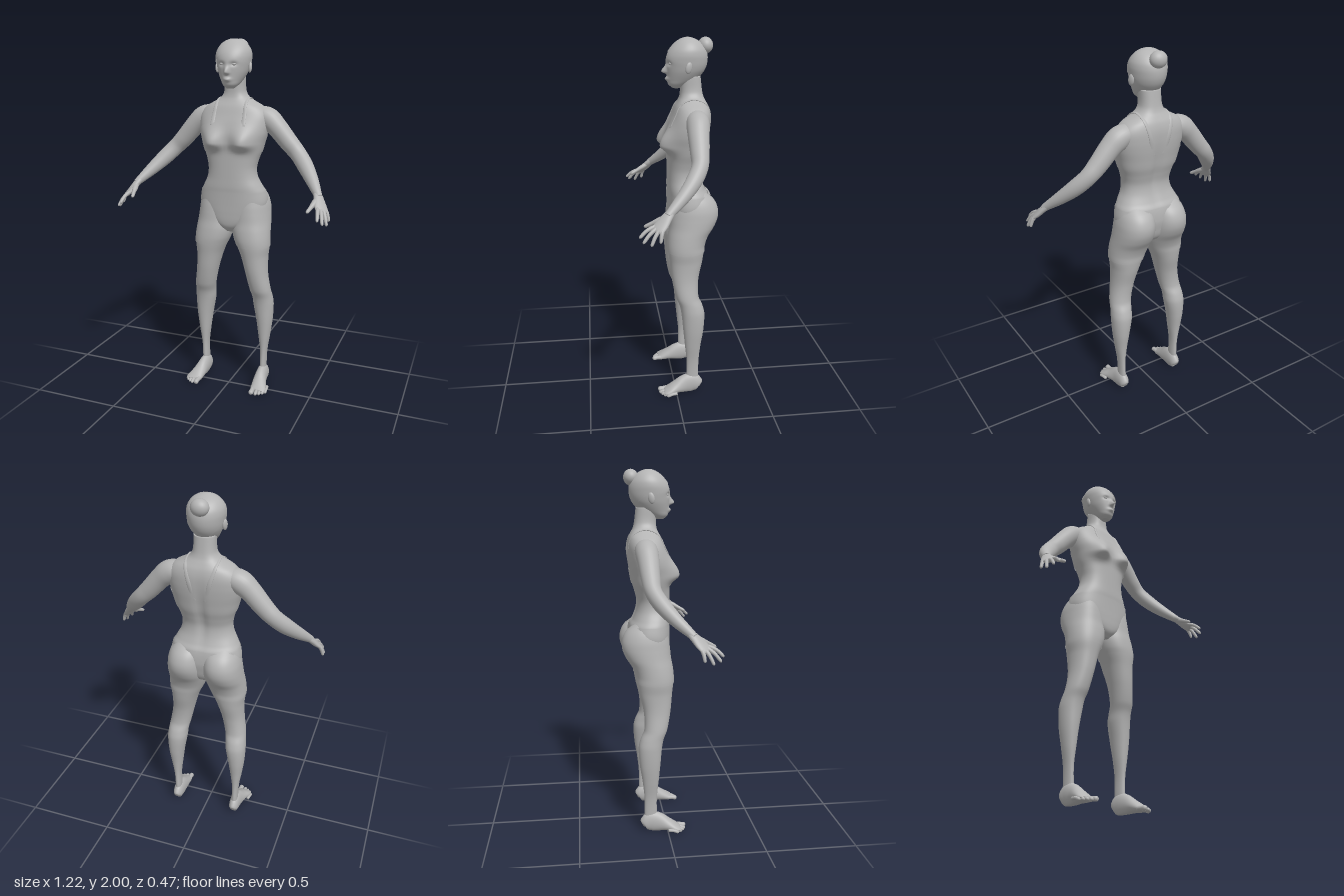
import * as THREE from 'three';

// Smooth interpolation of rows [key, ...values] by ascending key
function sample(rows, k) {
  let i = 0;
  while (i < rows.length - 2 && k > rows[i + 1][0]) i++;
  const b = rows[i], c = rows[i + 1], a = rows[i - 1] || b, d = rows[i + 2] || c;
  const t = Math.min(1, Math.max(0, (k - b[0]) / (c[0] - b[0]))), h = c[0] - b[0];
  return b.map((_, j) => {
    const m0 = (c[j] - a[j]) / (c[0] - a[0]) * h, m1 = (d[j] - b[j]) / (d[0] - b[0]) * h;
    return b[j] + t * m0 + t * t * (3 * (c[j] - b[j]) - 2 * m0 - m1) + t * t * t * (2 * (b[j] - c[j]) + m0 + m1);
  });
}

// Closed loops of points joined into a surface; fn(angle, 0..1) gives [x, y, z]
function surface(fn, nu, nv, capped = true) {
  const rings = [];
  for (let j = 0; j <= nv; j++) {
    const ring = [];
    for (let i = 0; i < nu; i++) ring.push(fn(i / nu * Math.PI * 2, j / nv));
    rings.push(ring);
  }
  if (capped) {
    const flat = ring => {
      const m = [0, 1, 2].map(a => ring.reduce((s, p) => s + p[a], 0) / nu);
      return ring.map(() => m);
    };
    rings.unshift(flat(rings[0]));
    rings.push(flat(rings[rings.length - 1]));
  }
  const index = [];
  for (let j = 0; j < rings.length - 1; j++) for (let i = 0; i < nu; i++) {
    const a = j * nu + i, b = j * nu + (i + 1) % nu;
    index.push(a, b, a + nu, b, b + nu, a + nu);
  }
  // Turn the faces outward
  const pts = rings.flat().map(p => new THREE.Vector3(...p));
  const mid = new THREE.Box3().setFromPoints(pts).getCenter(new THREE.Vector3());
  let volume = 0;
  for (let i = 0; i < index.length; i += 3) {
    const [p, q, r] = [0, 1, 2].map(n => pts[index[i + n]].clone().sub(mid));
    volume += p.dot(q.cross(r));
  }
  if (volume < 0) index.reverse();
  const g = new THREE.BufferGeometry().setFromPoints(pts);
  g.setIndex(index);
  g.computeVertexNormals();
  return g;
}

// Limb along points [x, y, z, half width, half thickness]; width follows axis
function sweep(points, axis, nu = 16, steps = 6, side = 1) {
  const rows = points.map((p, i) => [i, ...p]), last = rows.length - 1;
  const at = k => new THREE.Vector3(...sample(rows, k).slice(1, 4));
  return surface((a, v) => {
    const k = v * last, s = sample(rows, k);
    const T = at(Math.min(last, k + 0.05)).sub(at(Math.max(0, k - 0.05))).normalize();
    const W = new THREE.Vector3(...axis);
    W.addScaledVector(T, -W.dot(T)).normalize();
    const N = T.clone().cross(W);
    const p = at(k).addScaledVector(W, Math.cos(a) * s[4]).addScaledVector(N, Math.sin(a) * s[5]);
    return [p.x * side, Math.max(0, p.y), p.z];
  }, nu, last * steps);
}

const pow = (c, n) => Math.sign(c) * Math.abs(c) ** (2 / n);
const bump = (dx, dy, wx, wy) => Math.exp(-((dx / wx) ** 2) - (dy / wy) ** 2);

// Height, half width, front z, back z
const TORSO = [
  [0.94, 0.03, -0.01, -0.1], [0.97, 0.08, 0.014, -0.15], [1.0, 0.13, 0.022, -0.175], [1.05, 0.17, 0.025, -0.19],
  [1.1, 0.193, 0.026, -0.198], [1.17, 0.185, 0.028, -0.192], [1.2, 0.17, 0.03, -0.175], [1.25, 0.145, 0.03, -0.157],
  [1.3, 0.138, 0.03, -0.152], [1.35, 0.148, 0.03, -0.163], [1.4, 0.165, 0.03, -0.178], [1.45, 0.178, 0.032, -0.187],
  [1.5, 0.192, 0.03, -0.195], [1.55, 0.198, 0.018, -0.2], [1.6, 0.192, 0, -0.2], [1.64, 0.16, -0.015, -0.192],
  [1.67, 0.105, -0.03, -0.178], [1.69, 0.076, -0.038, -0.168], [1.72, 0.06, -0.042, -0.16], [1.8, 0.056, -0.04, -0.15]];
function torsoAt(a, y, grow = 0) {
  const [, w, f, b] = sample(TORSO, y);
  const x = pow(Math.cos(a), 2.4) * (w + grow), s = pow(Math.sin(a), 2.4);
  let z = (f + b) / 2 + s * ((f - b) / 2 + grow);
  if (s > 0) z += 0.05 * Math.min(1, s * 1.5) * bump(Math.abs(x) - 0.09, y - 1.445, 0.058, y < 1.445 ? 0.036 : 0.075);
  else z += 0.013 * bump(x, y - 1.38, 0.025, 0.17);
  return [x, y, z];
}

// Height, inner x, outer x, front z, back z
const LEG = [
  [0.03, 0.166, 0.207, -0.06, -0.13], [0.1, 0.167, 0.203, -0.06, -0.13], [0.2, 0.168, 0.207, -0.06, -0.13],
  [0.3, 0.156, 0.222, -0.05, -0.14], [0.4, 0.142, 0.235, -0.04, -0.155], [0.5, 0.124, 0.24, -0.03, -0.16],
  [0.55, 0.12, 0.236, -0.02, -0.148], [0.6, 0.11, 0.23, 0, -0.127], [0.7, 0.088, 0.215, 0.02, -0.128],
  [0.8, 0.06, 0.213, 0.031, -0.15], [0.86, 0.035, 0.22, 0.038, -0.16], [0.9, 0.018, 0.219, 0.039, -0.165],
  [0.95, 0.004, 0.215, 0.034, -0.185], [1.0, 0, 0.21, 0.025, -0.217], [1.05, 0, 0.205, 0.02, -0.236],
  [1.1, 0.003, 0.198, 0.014, -0.235], [1.15, 0.013, 0.182, 0.003, -0.21], [1.2, 0.04, 0.15, -0.03, -0.15]];
function legAt(a, y, side, grow = 0) {
  const [, i, o, f, b] = sample(LEG, y);
  return [side * ((i + o) / 2 + pow(Math.cos(a), 2.15) * ((o - i) / 2 + grow)), y,
    (f + b) / 2 + pow(Math.sin(a), 2.15) * ((f - b) / 2 + grow)];
}

const HEAD = [
  [1.737, 0.02, -0.002, -0.04], [1.755, 0.041, 0.02, -0.08], [1.78, 0.058, 0.026, -0.125], [1.82, 0.078, 0.03, -0.162],
  [1.85, 0.087, 0.032, -0.177], [1.88, 0.092, 0.034, -0.183], [1.91, 0.094, 0.027, -0.182], [1.94, 0.088, 0.01, -0.172],
  [1.97, 0.068, -0.018, -0.147], [1.988, 0.042, -0.045, -0.118], [1.997, 0.015, -0.07, -0.092]];
function headAt(a, y, grow = 0) {
  const [, w, f, b] = sample(HEAD, y);
  const x = Math.cos(a) * (w + grow), s = Math.sin(a);
  let z = (f + b) / 2 + s * ((f - b) / 2 + grow);
  if (s > 0) {
    z += 0.028 * bump(x, y - 1.823, 0.012, y < 1.823 ? 0.01 : 0.026);  // nose
    z += 0.013 * bump(x, y - 1.785, 0.02, 0.011);                      // lips
    z -= 0.009 * bump(Math.abs(x) - 0.034, y - 1.866, 0.018, 0.012);   // eye sockets
  }
  return [x, y, z];
}

export function createModel() {
  const model = new THREE.Group();
  model.name = 'figure';
  const grey = new THREE.MeshStandardMaterial({ color: 0xb4b4b4 });
  grey.name = 'grey';
  grey.side = THREE.DoubleSide;
  const add = (name, geometry) => {
    const mesh = new THREE.Mesh(geometry, grey);
    mesh.name = name;
    model.add(mesh);
    return mesh;
  };
  const ball = (name, x, y, z, rx, ry, rz) => {
    const m = add(name, new THREE.SphereGeometry(1, 28, 18));
    m.position.set(x, y, z);
    m.scale.set(rx, ry, rz);
    return m;
  };
  const mix = THREE.MathUtils.lerp;

  // Body and head
  add('torso', surface((a, v) => torsoAt(a, mix(0.94, 1.8, v)), 80, 130));
  add('head', surface((a, v) => headAt(a, mix(1.737, 1.997, v)), 96, 90));
  add('hair', surface((a, v) => {
    const s = Math.sin(a);
    const line = s > 0 ? mix(1.865, 1.925, s * s) : mix(1.865, 1.785, s * s);
    return headAt(a, mix(line, 1.997, v), 0.004);
  }, 64, 30, false));
  ball('hairBun', 0, 1.955, -0.175, 0.047, 0.043, 0.04);

  // Close-fitting clothes
  add('shortsHips', surface((a, v) => torsoAt(a, mix(0.95, 1.172, v), 0.003), 80, 40, false));
  add('top', surface((a, v) => {
    const s = Math.sin(a);
    const rim = s > 0 ? mix(1.49, 1.56, s) : mix(1.49, 1.47, -s);
    return torsoAt(a, mix(1.39, rim, v), 0.003);
  }, 80, 30, false));

  for (const side of [1, -1]) {
    const limb = (name, points, axis, nu, steps) => add(name, sweep(points, axis, nu, steps, side));
    ball('eye', side * 0.034, 1.866, 0.012, 0.013, 0.008, 0.011);
    ball('ear', side * 0.094, 1.848, -0.075, 0.01, 0.03, 0.018).rotation.set(-0.2, side * 0.3, 0);

    add('leg', surface((a, v) => legAt(a, mix(0.03, 1.2, v), side), 48, 120));
    add('shortsLeg', surface((a, v) => legAt(a, mix(0.86, 1.16, v), side, 0.003), 48, 40, false));
    limb('topStrap', [
      [0.09, 1.54, 0.022, 0.012, 0.004], [0.088, 1.6, -0.006, 0.011, 0.004], [0.085, 1.64, -0.024, 0.01, 0.004],
      [0.083, 1.671, -0.056, 0.01, 0.004], [0.081, 1.684, -0.103, 0.01, 0.004], [0.08, 1.671, -0.152, 0.01, 0.004],
      [0.074, 1.64, -0.184, 0.01, 0.004], [0.055, 1.57, -0.198, 0.012, 0.004], [0.03, 1.46, -0.182, 0.014, 0.004]], [1, 0, 0]);

    // Arm and hand
    limb('arm', [
      [0.11, 1.6, -0.115, 0.035, 0.03], [0.15, 1.592, -0.112, 0.056, 0.052], [0.195, 1.57, -0.11, 0.06, 0.062],
      [0.243, 1.528, -0.106, 0.056, 0.056], [0.312, 1.45, -0.102, 0.049, 0.051], [0.365, 1.395, -0.094, 0.043, 0.046],
      [0.42, 1.335, -0.055, 0.041, 0.044], [0.475, 1.272, 0.005, 0.033, 0.035], [0.522, 1.216, 0.068, 0.023, 0.023],
      [0.535, 1.2, 0.085, 0.02, 0.02]], [0, 0, 1], 28, 8);
    const across = [0.58, -0.05, -0.8];
    limb('palm', [
      [0.52, 1.218, 0.066, 0.022, 0.019], [0.537, 1.192, 0.092, 0.03, 0.018], [0.552, 1.165, 0.117, 0.037, 0.016],
      [0.567, 1.142, 0.14, 0.037, 0.012], [0.572, 1.135, 0.147, 0.028, 0.007]], across, 20);
    const fingers = [
      [0.548, 1.152, 0.16, 0.564, 1.105, 0.226], [0.562, 1.146, 0.148, 0.587, 1.085, 0.21],
      [0.574, 1.141, 0.134, 0.601, 1.074, 0.172], [0.583, 1.14, 0.117, 0.602, 1.088, 0.128]];
    for (const [x, y, z, tx, ty, tz] of fingers) {
      const part = (t, r) => [mix(x, tx, t), mix(y, ty, t) + 0.008 * Math.sin(t * 3.14), mix(z, tz, t), r, r];
      limb('finger', [part(-0.25, 0.009), part(0.1, 0.0105), part(0.5, 0.0095), part(0.9, 0.008), part(1, 0.003)], across, 12, 4);
    }
    limb('thumb', [
      [0.528, 1.196, 0.095, 0.014, 0.013], [0.522, 1.178, 0.128, 0.016, 0.014], [0.513, 1.161, 0.16, 0.011, 0.011],
      [0.504, 1.145, 0.19, 0.009, 0.009], [0.501, 1.14, 0.199, 0.003, 0.003]], [1, 0, 0], 12);

    // Foot and toes
    limb('foot', [
      [0.185, 0.035, -0.14, 0.012, 0.016], [0.185, 0.042, -0.128, 0.026, 0.042], [0.185, 0.052, -0.09, 0.031, 0.06],
      [0.187, 0.046, -0.045, 0.034, 0.054], [0.193, 0.034, 0, 0.04, 0.036], [0.201, 0.021, 0.04, 0.045, 0.023],
      [0.204, 0.016, 0.062, 0.043, 0.014], [0.204, 0.014, 0.07, 0.034, 0.008]], [1, 0, 0], 28);
    const toes = [[0.174, 0.105, 0.0135], [0.2, 0.101, 0.0095], [0.218, 0.091, 0.009], [0.234, 0.077, 0.009], [0.246, 0.06, 0.009]];
    for (const [x, tip, r] of toes) {
      limb('toe', [
        [x - 0.004, 0.018, tip - 0.06, r, r], [x, 0.016, tip - 0.03, r, r * 0.95],
        [x, r * 0.95, tip - 0.009, r * 1.05, r], [x, r * 0.85, tip, r * 0.5, r * 0.5]], [1, 0, 0], 14, 5);
    }
  }
  return model;
}
